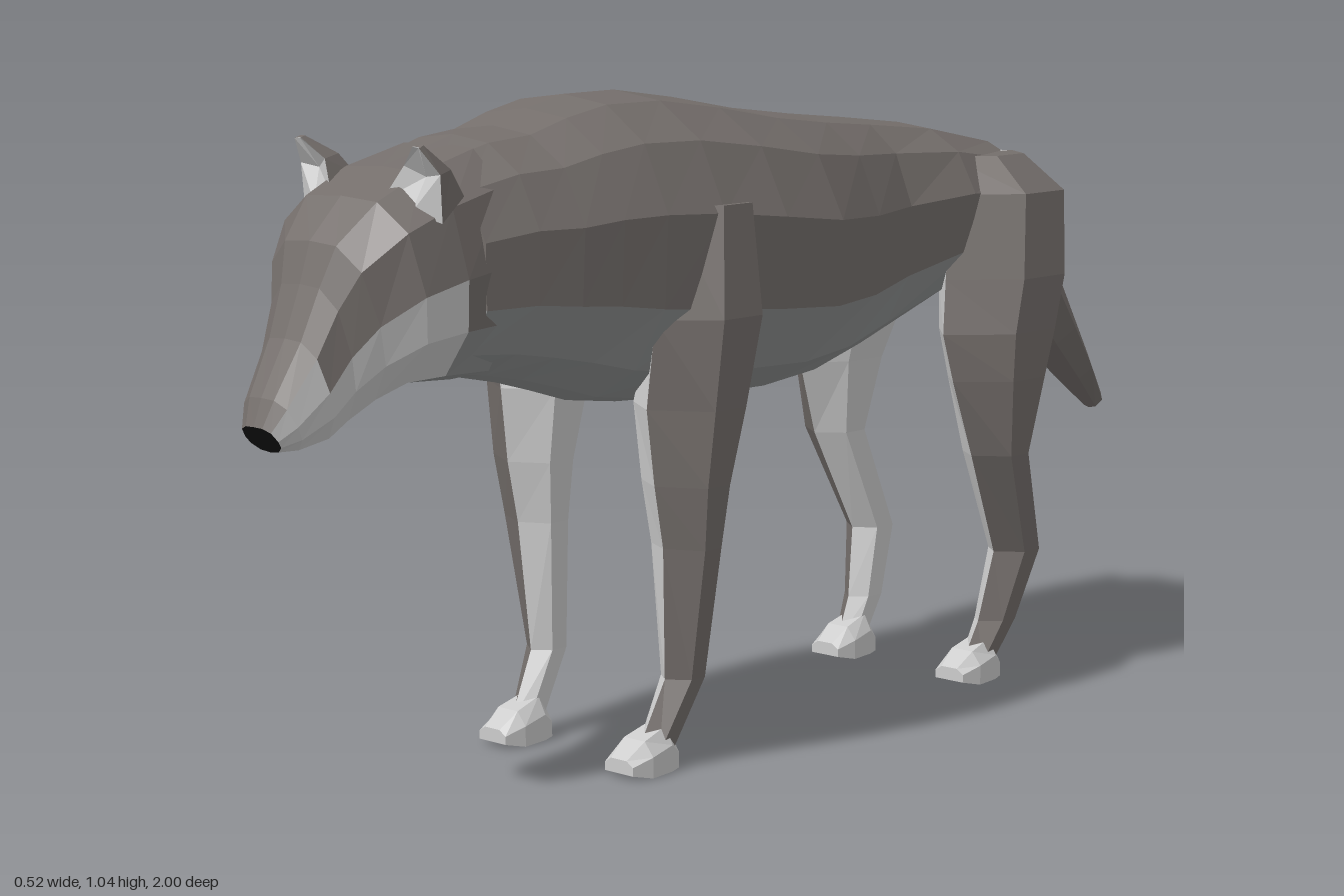
import * as THREE from 'three';

const tones = {
  coat: new THREE.MeshStandardMaterial({ color: 0x746e6b, flatShading: true }),
  under: new THREE.MeshStandardMaterial({ color: 0x8e9090, flatShading: true }),
  pale: new THREE.MeshStandardMaterial({ color: 0xbcbcbc, flatShading: true }),
  nose: new THREE.MeshStandardMaterial({ color: 0x141414, flatShading: true }),
};

// Closed loft through rings of equal length; toneOf(i, j) picks the tone of each panel.
// Caps use i = -1 (start) and i = rings.length - 1 (end).
function loft(name, rings, toneOf) {
  const tris = [];
  const n = rings[0].length, last = rings.length - 1;
  for (let i = 0; i < last; i++) {
    for (let j = 0; j < n; j++) {
      const k = (j + 1) % n, t = toneOf(i, j);
      const a = rings[i][j], b = rings[i][k], c = rings[i + 1][k], d = rings[i + 1][j];
      tris.push([t, a, d, c], [t, a, c, b]);
    }
  }
  for (const i of [0, last]) {
    const mid = new THREE.Vector3();
    rings[i].forEach((p) => mid.addScaledVector(p, 1 / n));
    rings[i].forEach((p, j) => {
      const q = rings[i][(j + 1) % n];
      tris.push(i ? [toneOf(last, j), mid, q, p] : [toneOf(-1, j), mid, p, q]);
    });
  }
  // Turn every face outward
  const cross = new THREE.Vector3();
  const volume = tris.reduce((s, [, a, b, c]) => s + a.dot(cross.crossVectors(b, c)), 0);
  const group = new THREE.Group();
  group.name = name;
  for (const tone of Object.keys(tones)) {
    const points = [];
    for (const [t, a, b, c] of tris) {
      if (t === tone) points.push(...(volume > 0 ? [a, b, c] : [a, c, b]));
    }
    if (!points.length) continue;
    const geometry = new THREE.BufferGeometry().setFromPoints(points);
    geometry.computeVertexNormals();
    const mesh = new THREE.Mesh(geometry, tones[tone]);
    mesh.name = `${name} ${tone}`;
    group.add(mesh);
  }
  return group;
}

// Symmetric ring from [zTop, yTop, zBottom, yBottom, halfWidth] and a half profile of [u, v]
function symmetricRing([zt, yt, zb, yb, w], profile) {
  const point = (s) => ([u, v]) =>
    new THREE.Vector3(s * u * w, THREE.MathUtils.lerp(yt, yb, v), THREE.MathUtils.lerp(zt, zb, v));
  return [...profile.map(point(1)), ...profile.slice(1, -1).reverse().map(point(-1))];
}

function symmetricLoft(name, rows, profile, toneOf) {
  const n = 2 * (profile.length - 1);
  return loft(name, rows.map((r) => symmetricRing(r, profile)),
    (i, j) => toneOf(i, Math.min(j, n - 1 - j)));
}

// Leg from rows of [y, zBack, zFront, xInner, xOuter], pale on the inside
function leg(name, rows, side) {
  const section = [[0.45, 1], [1, 0.65], [1, 0.22], [0.5, 0], [0, 0.25], [0, 0.7]];
  const rings = rows.map(([y, zb, zf, xi, xo]) => section.map(([u, v]) =>
    new THREE.Vector3(side * (xi + u * (xo - xi)), y, zb + v * (zf - zb))));
  return loft(name, rings, (i, j) => (j < 3 ? 'coat' : 'pale'));
}

// Paw whose toe reaches z
function paw(name, z, side) {
  const rows = [[-0.11, 0.0, 0.04, 0.024], [-0.085, 0, 0.07, 0.034],
    [-0.035, 0, 0.055, 0.04], [0, 0.008, 0.03, 0.03]];
  const section = [[-1, 0], [1, 0], [1, 0.6], [0.55, 1], [-0.55, 1], [-1, 0.6]];
  const rings = rows.map(([dz, y0, y1, w]) => section.map(([u, v]) =>
    new THREE.Vector3(side * (0.14 + u * w), y0 + v * (y1 - y0), z + dz)));
  return loft(name, rings, () => 'pale');
}

// Ear: pointed shell, pale in front
function ear(name, side) {
  const P = (x, y, z) => new THREE.Vector3(side * x, y, z);
  const rings = [
    [P(0.055, 0.915, 0.80), P(0.105, 0.90, 0.79), P(0.148, 0.885, 0.77), P(0.14, 0.92, 0.72), P(0.08, 0.94, 0.73)],
    [P(0.085, 0.965, 0.785), P(0.115, 0.95, 0.77), P(0.15, 0.955, 0.775), P(0.14, 0.96, 0.745), P(0.095, 0.97, 0.75)],
    [P(0.12, 0.995, 0.80), P(0.127, 0.993, 0.795), P(0.134, 0.993, 0.80), P(0.132, 0.997, 0.79), P(0.122, 0.997, 0.79)],
  ];
  return loft(name, rings, (i, j) => (j < 2 ? 'pale' : 'coat'));
}

export function createModel() {
  const model = new THREE.Group();
  model.name = 'wolf';

  // Trunk and neck
  const trunk = [
    [-0.62, 0.90, -0.635, 0.74, 0.10], [-0.58, 0.92, -0.58, 0.68, 0.165],
    [-0.42, 0.953, -0.42, 0.645, 0.17], [-0.27, 0.97, -0.27, 0.585, 0.155],
    [-0.14, 0.983, -0.14, 0.555, 0.195], [0, 1.0, 0, 0.545, 0.238],
    [0.14, 1.025, 0.14, 0.547, 0.245], [0.27, 1.043, 0.27, 0.555, 0.235],
    [0.38, 1.042, 0.38, 0.57, 0.22], [0.46, 1.025, 0.46, 0.595, 0.207],
    [0.53, 1.003, 0.53, 0.615, 0.195], [0.61, 0.995, 0.6, 0.63, 0.178],
    [0.70, 0.97, 0.68, 0.64, 0.155],
  ];
  const trunkProfile = [[0, 0], [0.42, 0.025], [0.78, 0.14], [1, 0.36], [0.97, 0.66], [0.68, 0.87], [0.3, 0.975], [0, 1]];
  model.add(symmetricLoft('body', trunk, trunkProfile, (i, k) => (k < 4 ? 'coat' : 'under')));

  // Head, tilting down to the muzzle, with the nose as its end
  const skull = [
    [0.64, 0.985, 0.62, 0.63, 0.15], [0.75, 0.957, 0.71, 0.635, 0.16],
    [0.83, 0.92, 0.78, 0.635, 0.152], [0.89, 0.86, 0.82, 0.615, 0.11],
    [0.91, 0.80, 0.86, 0.59, 0.082], [0.94, 0.725, 0.89, 0.57, 0.068],
    [0.985, 0.645, 0.94, 0.563, 0.053], [1.0, 0.605, 0.97, 0.565, 0.036],
  ];
  const skullProfile = [[0, 0], [0.5, 0.015], [0.88, 0.16], [1, 0.48], [0.92, 0.72], [0.55, 0.94], [0, 1]];
  model.add(symmetricLoft('head', skull, skullProfile, (i, k) => {
    if (i === skull.length - 1) return 'nose';
    if (k < (i > 0 && i < 3 ? 3 : 2)) return 'coat';
    if (i === 0) return k < 4 ? 'coat' : 'under';
    if (k === 2) return i < 5 ? 'coat' : 'pale';
    return k < 5 ? 'pale' : 'under';
  }));

  // Tail
  const tail = [
    [-0.58, 0.91, -0.59, 0.82, 0.03], [-0.66, 0.885, -0.64, 0.79, 0.045],
    [-0.74, 0.82, -0.685, 0.70, 0.068], [-0.80, 0.72, -0.72, 0.62, 0.076],
    [-0.875, 0.60, -0.82, 0.525, 0.065], [-0.94, 0.505, -0.905, 0.455, 0.048],
    [-1.0, 0.425, -0.98, 0.395, 0.022],
  ];
  const tailProfile = [[0, 0], [0.6, 0.12], [1, 0.5], [0.6, 0.9], [0, 1]];
  model.add(symmetricLoft('tail', tail, tailProfile, () => 'coat'));

  // Paired parts
  const foreRows = [
    [0.88, 0.18, 0.33, 0.12, 0.238], [0.71, 0.17, 0.37, 0.12, 0.26],
    [0.57, 0.205, 0.365, 0.085, 0.25], [0.45, 0.235, 0.35, 0.1, 0.235],
    [0.35, 0.245, 0.33, 0.11, 0.22], [0.14, 0.245, 0.315, 0.12, 0.182],
    [0.03, 0.30, 0.37, 0.12, 0.165],
  ];
  const hindRows = [
    [0.90, -0.60, -0.43, 0.05, 0.16], [0.84, -0.645, -0.40, 0.06, 0.225],
    [0.70, -0.63, -0.37, 0.07, 0.243], [0.61, -0.60, -0.35, 0.09, 0.245],
    [0.53, -0.565, -0.365, 0.11, 0.243], [0.40, -0.52, -0.41, 0.13, 0.23],
    [0.22, -0.59, -0.495, 0.125, 0.20], [0.10, -0.55, -0.47, 0.12, 0.178],
    [0.03, -0.505, -0.435, 0.12, 0.165],
  ];
  for (const [label, side] of [['left', 1], ['right', -1]]) {
    model.add(
      ear(`${label} ear`, side),
      leg(`${label} front leg`, foreRows, side),
      paw(`${label} front paw`, 0.41, side),
      leg(`${label} hind leg`, hindRows, side),
      paw(`${label} hind paw`, -0.40, side),
    );
  }
  return model;
}
